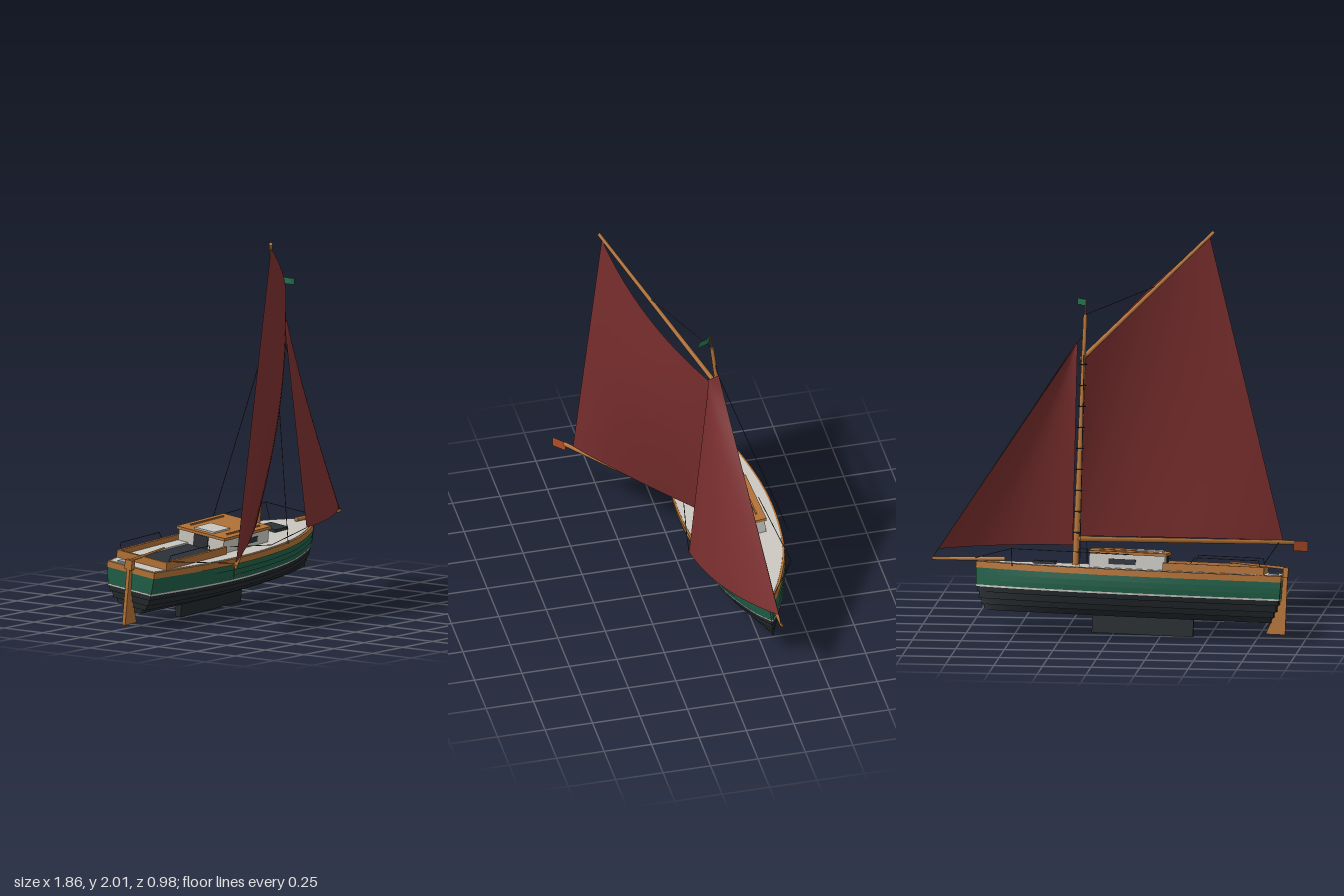
import * as THREE from 'three';
import { toCreasedNormals } from 'three/addons/utils/BufferGeometryUtils.js';

const mat = (color, side = THREE.FrontSide) => new THREE.MeshStandardMaterial({ color, side });
const WOOD = mat(0xb07035), GREEN = mat(0x1f5c46), BLACK = mat(0x22272b), DECK = mat(0xc8c5be);
const DARK = mat(0x2c3138), GREY = mat(0x9a9ca2), SAIL = mat(0x7a2e2e, THREE.DoubleSide);
const ORANGE = mat(0xb04e28, THREE.DoubleSide), FLAG = mat(0x23704a, THREE.DoubleSide);
const V = (a) => new THREE.Vector3(...a);

function add(parent, name, geometry, material, pos = [0, 0, 0]) {
  const m = new THREE.Mesh(geometry, material);
  m.name = name;
  m.position.set(...pos);
  parent.add(m);
  return m;
}

function box(parent, name, x0, x1, y0, y1, z0, z1, material) {
  return add(parent, name, new THREE.BoxGeometry(x1 - x0, y1 - y0, z1 - z0), material,
    [(x0 + x1) / 2, (y0 + y1) / 2, (z0 + z1) / 2]);
}

// round bar between two points
function spar(parent, name, a, b, r0, r1, material, sides = 10) {
  const p = V(a), q = V(b), d = q.clone().sub(p);
  const m = add(parent, name, new THREE.CylinderGeometry(r1, r0, d.length(), sides), material);
  m.position.copy(p).add(q).multiplyScalar(0.5);
  m.quaternion.setFromUnitVectors(new THREE.Vector3(0, 1, 0), d.normalize());
  return m;
}

// thin line through a list of points
function rope(parent, name, ...pts) {
  for (let i = 1; i < pts.length; i++) spar(parent, name, pts[i - 1], pts[i], 0.002, 0.002, DARK, 5);
}

// half-breadth of the hull from stern to bow
const plan = new THREE.SplineCurve([[-0.87, 0.15], [-0.5, 0.212], [-0.2, 0.236], [0.1, 0.223],
  [0.35, 0.178], [0.58, 0.087], [0.71, 0.006]].map(([x, b]) => new THREE.Vector2(x, b)));

// one plank layer: a boat-shaped slab, shortened by inset and tapered from w0 (top) to w1 (bottom)
function slab(y0, y1, w0, w1, inset, trim = 0) {
  const N = 30, rings = [], pos = [];
  for (let i = 0; i <= N; i++) {
    const p = plan.getPoint(i / N);
    const x = -0.08 + (p.x + 0.08) * (1 - inset / 0.79);
    const t = Math.max(0.001, p.y * w0 - trim), b = Math.max(0.001, p.y * w1 - trim);
    rings.push([[x, y0, t], [x, y1, b], [x, y1, -b], [x, y0, -t]]);
  }
  const quad = (a, b, c, d) => pos.push(...a, ...b, ...c, ...a, ...c, ...d);
  for (let i = 0; i < N; i++) {
    const r = rings[i], s = rings[i + 1];
    for (let k = 0; k < 4; k++) quad(r[k], r[(k + 1) % 4], s[(k + 1) % 4], s[k]);
  }
  quad(...[...rings[0]].reverse());
  quad(...rings[N]);
  const g = new THREE.BufferGeometry();
  g.setAttribute('position', new THREE.Float32BufferAttribute(pos, 3));
  return toCreasedNormals(g, 0.5);
}

// four-cornered cloth, bellied along a direction
function cloth(parent, name, [a, b, c, d], belly, amount, material) {
  const [A, B, C, D] = [a, b, c, d].map(V), n = V(belly).normalize();
  const g = new THREE.PlaneGeometry(1, 1, 20, 20), p = g.attributes.position;
  for (let i = 0; i < p.count; i++) {
    const u = p.getX(i) + 0.5, v = p.getY(i) + 0.5;
    const q = A.clone().lerp(B, u).lerp(D.clone().lerp(C, u), v);
    q.addScaledVector(n, amount(u, v));
    p.setXYZ(i, q.x, q.y, q.z);
  }
  g.computeVertexNormals();
  return add(parent, name, g, material);
}

function buildHull() {
  const h = new THREE.Group();
  h.name = 'hull';
  h.position.set(0, 0, -0.283);
  h.rotation.set(0.125, 0.03, 0.03);

  // lapped planking, top to bottom
  const layers = [
    ['rail', 0.35, 0.318, 1.0, 1.0, 0, WOOD],
    ['greenPlank', 0.32, 0.288, 0.975, 0.98, 0.002, GREEN],
    ['greenPlank', 0.29, 0.258, 0.96, 0.95, 0.003, GREEN],
    ['greenPlank', 0.26, 0.23, 0.935, 0.91, 0.005, GREEN],
    ['waterline', 0.231, 0.222, 0.912, 0.902, 0.004, DECK],
    ['bottomPlank', 0.223, 0.196, 0.89, 0.85, 0.012, BLACK],
    ['bottomPlank', 0.198, 0.162, 0.8, 0.74, 0.022, BLACK],
    ['bottomPlank', 0.165, 0.132, 0.66, 0.58, 0.036, BLACK],
    ['bottomPlank', 0.135, 0.103, 0.46, 0.33, 0.05, BLACK],
  ];
  for (const [name, y0, y1, w0, w1, inset, m] of layers) add(h, name, slab(y0, y1, w0, w1, inset), m);
  add(h, 'deck', slab(0.353, 0.34, 1, 1, 0.008, 0.01), DECK);
  box(h, 'keel', -0.42, 0.1, 0.012, 0.12, -0.018, 0.018, BLACK);

  // rudder and tiller
  const s = new THREE.Shape([[-0.892, 0.365], [-0.892, 0.045], [-0.792, 0.045], [-0.825, 0.13],
    [-0.862, 0.22], [-0.862, 0.365]].map(([x, y]) => new THREE.Vector2(x, y)));
  add(h, 'rudder', new THREE.ExtrudeGeometry(s, { depth: 0.02, bevelEnabled: false }), WOOD, [0, 0, -0.01]);
  box(h, 'rudderHead', -0.895, -0.868, 0.34, 0.39, -0.022, 0.022, WOOD);
  spar(h, 'tiller', [-0.89, 0.385, 0], [-0.59, 0.405, 0], 0.008, 0.005, WOOD);
  box(h, 'sternHatch', -0.85, -0.8, 0.35, 0.36, -0.1, -0.04, GREY);

  // cockpit
  box(h, 'cockpitSole', -0.76, -0.26, 0.35, 0.356, -0.08, 0.08, DARK);
  box(h, 'cockpitEnd', -0.78, -0.765, 0.35, 0.392, -0.158, 0.158, WOOD);
  for (const k of [-1, 1]) {
    box(h, 'coaming', -0.78, -0.26, 0.345, 0.392, k * 0.152 - 0.007, k * 0.152 + 0.007, WOOD);
    box(h, 'bench', -0.76, -0.27, 0.35, 0.364, k * 0.113 - 0.032, k * 0.113 + 0.032, DECK);
    rope(h, 'cockpitRail', [-0.76, 0.39, k * 0.155], [-0.75, 0.425, k * 0.16], [-0.42, 0.425, k * 0.16],
      [-0.4, 0.39, k * 0.155]);
    box(h, 'cabinWindow', -0.12, 0.02, 0.372, 0.4, k * 0.143 - 0.004, k * 0.143 + 0.004, DARK);
    box(h, 'grabRail', -0.21, 0.07, 0.438, 0.445, k * 0.115 - 0.004, k * 0.115 + 0.004, WOOD);
  }

  // cabin
  box(h, 'cabinSides', -0.27, 0.12, 0.34, 0.425, -0.143, 0.143, DECK);
  box(h, 'cabinRoof', -0.28, 0.125, 0.423, 0.438, -0.154, 0.154, WOOD);
  box(h, 'slidingHatch', -0.25, -0.11, 0.435, 0.447, -0.062, 0.062, DECK);
  box(h, 'companionway', -0.275, -0.265, 0.35, 0.42, -0.045, 0.045, DARK);
  box(h, 'foreHatch', 0.3, 0.41, 0.35, 0.368, -0.055, 0.055, DARK);
  return h;
}

function buildRig() {
  const r = new THREE.Group();
  r.name = 'rig';
  const foot = [0.19, 0.34, -0.238], top = [0.155, 1.63, -0.085];
  spar(r, 'mast', foot, top, 0.017, 0.01, WOOD, 14);
  spar(r, 'flagStaff', top, [0.152, 1.705, -0.075], 0.004, 0.003, WOOD);
  spar(r, 'bowsprit', [0.55, 0.384, -0.257], [0.925, 0.382, -0.266], 0.012, 0.008, WOOD);
  spar(r, 'boom', [0.185, 0.49, -0.225], [-0.86, 0.378, 0.445], 0.014, 0.011, WOOD);
  spar(r, 'gaff', [0.175, 1.4, -0.11], [-0.458, 1.995, 0.363], 0.012, 0.009, WOOD);

  // mast hoops
  const axis = V(top).sub(V(foot));
  for (let i = 0; i < 9; i++) {
    const hoop = add(r, 'mastHoop', new THREE.TorusGeometry(0.019, 0.003, 5, 16), DARK);
    hoop.position.copy(V(foot)).addScaledVector(axis, 0.14 + i * 0.083);
    hoop.quaternion.setFromUnitVectors(new THREE.Vector3(0, 0, 1), axis.clone().normalize());
  }

  // sails
  cloth(r, 'mainsail', [[0.175, 0.5, -0.2], [-0.81, 0.393, 0.412], [-0.44, 1.97, 0.35], [0.158, 1.4, -0.09]],
    [0.545, 0, 0.84], (u, v) => 0.38 * u * (1 - u) * Math.sin(Math.PI * (0.08 + 0.67 * v)), SAIL);
  cloth(r, 'jib', [[0.895, 0.43, -0.258], [0.235, 0.41, 0.055], [0.198, 1.47, -0.06], [0.202, 1.485, -0.11]],
    [0.43, 0, 0.9], (u, v) => 0.24 * u * (1 - u) * (1 - 0.5 * v), SAIL);

  // flags
  const wave = (u) => 0.006 * Math.sin(u * 6);
  cloth(r, 'mastFlag', [[0.152, 1.675, -0.073], [0.207, 1.668, 0], [0.207, 1.7, 0], [0.152, 1.71, -0.073]],
    [0.8, 0, -0.6], wave, FLAG);
  cloth(r, 'boomFlag', [[-0.86, 0.335, 0.44], [-0.93, 0.325, 0.49], [-0.93, 0.378, 0.49], [-0.86, 0.386, 0.44]],
    [0.5, 0, 0.8], () => 0, ORANGE);

  // rigging
  rope(r, 'peakHalyard', top, [-0.2, 1.75, 0.17]);
  rope(r, 'forestay', [0.158, 1.54, -0.1], [0.92, 0.39, -0.264]);
  rope(r, 'shroud', [0.158, 1.5, -0.1], [0.14, 0.39, -0.49]);
  rope(r, 'shroud', [0.158, 1.5, -0.1], [0.155, 0.33, -0.002]);
  rope(r, 'mainSheet', [-0.79, 0.385, 0.4], [-0.76, 0.345, -0.06]);
  rope(r, 'jibSheet', [0.235, 0.41, 0.055], [0.0, 0.345, 0.01], [-0.28, 0.365, -0.04]);
  rope(r, 'bowRail', [0.7, 0.39, -0.268], [0.5, 0.465, -0.418], [-0.1, 0.44, -0.392]);
  rope(r, 'bowRailPost', [0.5, 0.37, -0.385], [0.5, 0.465, -0.418]);
  return r;
}

export function createModel() {
  const boat = new THREE.Group();
  boat.name = 'sailingBoat';
  boat.add(buildHull(), buildRig());
  return boat;
}
